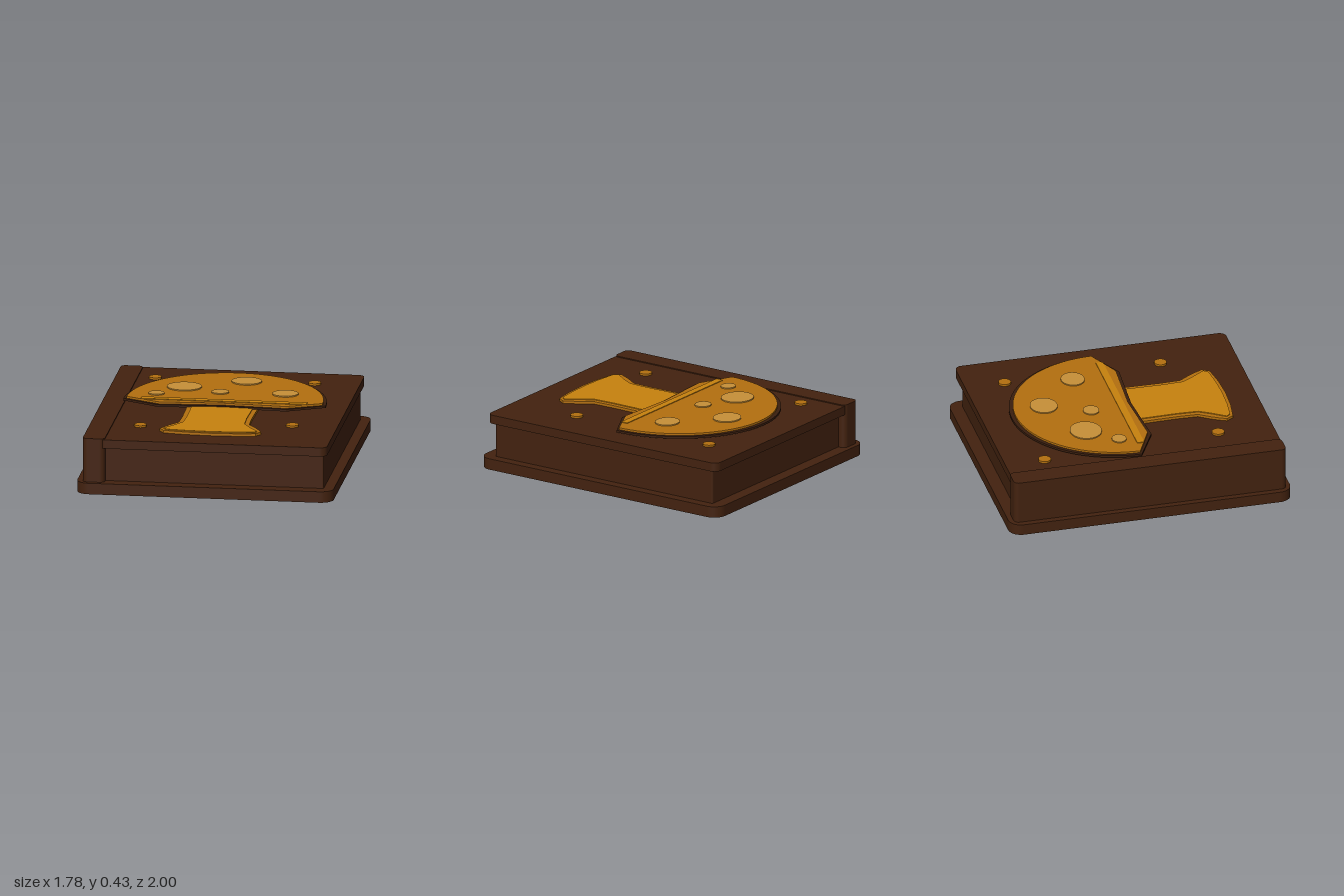
import * as THREE from 'three';

const mat = (name, color) => {
  const m = new THREE.MeshStandardMaterial({ color });
  m.name = name;
  return m;
};

export function createModel() {
  const book = new THREE.Group();
  book.name = 'book';
  const leather = mat('dark brown leather', 0x43220f);
  const outline = mat('outline brown', 0x3a1e0e);
  const amber = mat('amber', 0xb4700f);
  const gold = mat('gold', 0xc8820e);
  const cream = mat('pale tan', 0xc89038);

  // Horizontal plate: the shape lies in (x, -z) and rises from y0 to y1
  function plate(name, shape, y0, y1, material) {
    const geo = new THREE.ExtrudeGeometry(shape, { depth: y1 - y0, bevelEnabled: false, curveSegments: 24 });
    geo.rotateX(-Math.PI / 2);
    const mesh = new THREE.Mesh(geo, material);
    mesh.name = name;
    mesh.position.y = y0;
    book.add(mesh);
  }

  function roundedRect(x0, x1, z, r) {
    const s = new THREE.Shape();
    s.absarc(x1 - r, z - r, r, 0, Math.PI / 2);
    s.absarc(x0 + r, z - r, r, Math.PI / 2, Math.PI);
    s.absarc(x0 + r, -z + r, r, Math.PI, Math.PI * 1.5);
    s.absarc(x1 - r, -z + r, r, Math.PI * 1.5, Math.PI * 2);
    s.closePath();
    return s;
  }

  // Covers, page block and spine
  plate('backCover', roundedRect(-0.89, 0.89, 1, 0.09), 0, 0.078, leather);
  plate('pageBlock', roundedRect(-0.75, 0.82, 0.91, 0.01), 0.078, 0.32, leather);
  plate('frontCover', roundedRect(-0.74, 0.845, 0.96, 0.05), 0.318, 0.38, leather);
  plate('spine', roundedRect(-0.848, -0.695, 0.965, 0.035), 0.078, 0.387, leather);

  // Mirrors a right-hand [x, z] profile into a closed shape
  function mirrored(points) {
    const left = points.filter(([x]) => x > 0).reverse().map(([x, z]) => [-x, z]);
    return new THREE.Shape([...points, ...left].map(([x, z]) => new THREE.Vector2(x, -z)));
  }

  // Mushroom stem: rim and raised inner face
  plate('stemRim', mirrored([[0.26, -0.08], [0.245, 0.09], [0.24, 0.35], [0.245, 0.49], [0.3, 0.57],
    [0.328, 0.62], [0.352, 0.67], [0.32, 0.72], [0.17, 0.742], [0, 0.75]]), 0.38, 0.398, amber);
  plate('stemFace', mirrored([[0.22, -0.07], [0.212, 0.09], [0.207, 0.35], [0.213, 0.5], [0.26, 0.58],
    [0.295, 0.63], [0.325, 0.675], [0.3, 0.705], [0.16, 0.72], [0, 0.726]]), 0.398, 0.404, gold);

  // Mushroom cap: domed top, angled underside
  function capShape(rx, top, sideZ, lowX, lowZ, midZ) {
    const s = new THREE.Shape();
    s.absellipse(0, -sideZ, rx, top + sideZ, 0, Math.PI);
    s.lineTo(-lowX, -lowZ);
    s.lineTo(0, -midZ);
    s.lineTo(lowX, -lowZ);
    s.closePath();
    return s;
  }
  plate('capOutline', capShape(0.703, 0.768, -0.025, 0.445, 0.108, 0.08), 0.395, 0.41, outline);
  plate('cap', capShape(0.68, 0.74, -0.03, 0.44, 0.083, 0.055), 0.41, 0.424, amber);
  plate('capBand', roundedRect(-0.575, 0.575, 0.025, 0.002).clone(), 0.424, 0.429, gold);

  // Oval cap spots and round cover studs
  function oval(name, x, z, rx, rz, y0, y1, material) {
    const s = new THREE.Shape();
    s.absellipse(x, -z, rx, rz, 0, Math.PI * 2);
    plate(name, s, y0, y1, material);
  }
  [[-0.32, -0.325, 0.12], [0.085, -0.52, 0.104], [-0.057, -0.22, 0.061], [0.393, -0.235, 0.09], [-0.487, -0.132, 0.055]]
    .forEach(([x, z, r]) => oval('capSpot', x, z, r, r * 0.91, 0.424, 0.432, cream));
  [[-0.572, -0.682], [0.535, -0.682], [0.535, 0.425], [-0.5, 0.568]]
    .forEach(([x, z]) => oval('stud', x, z, 0.043, 0.043, 0.38, 0.394, amber));

  return book;
}
